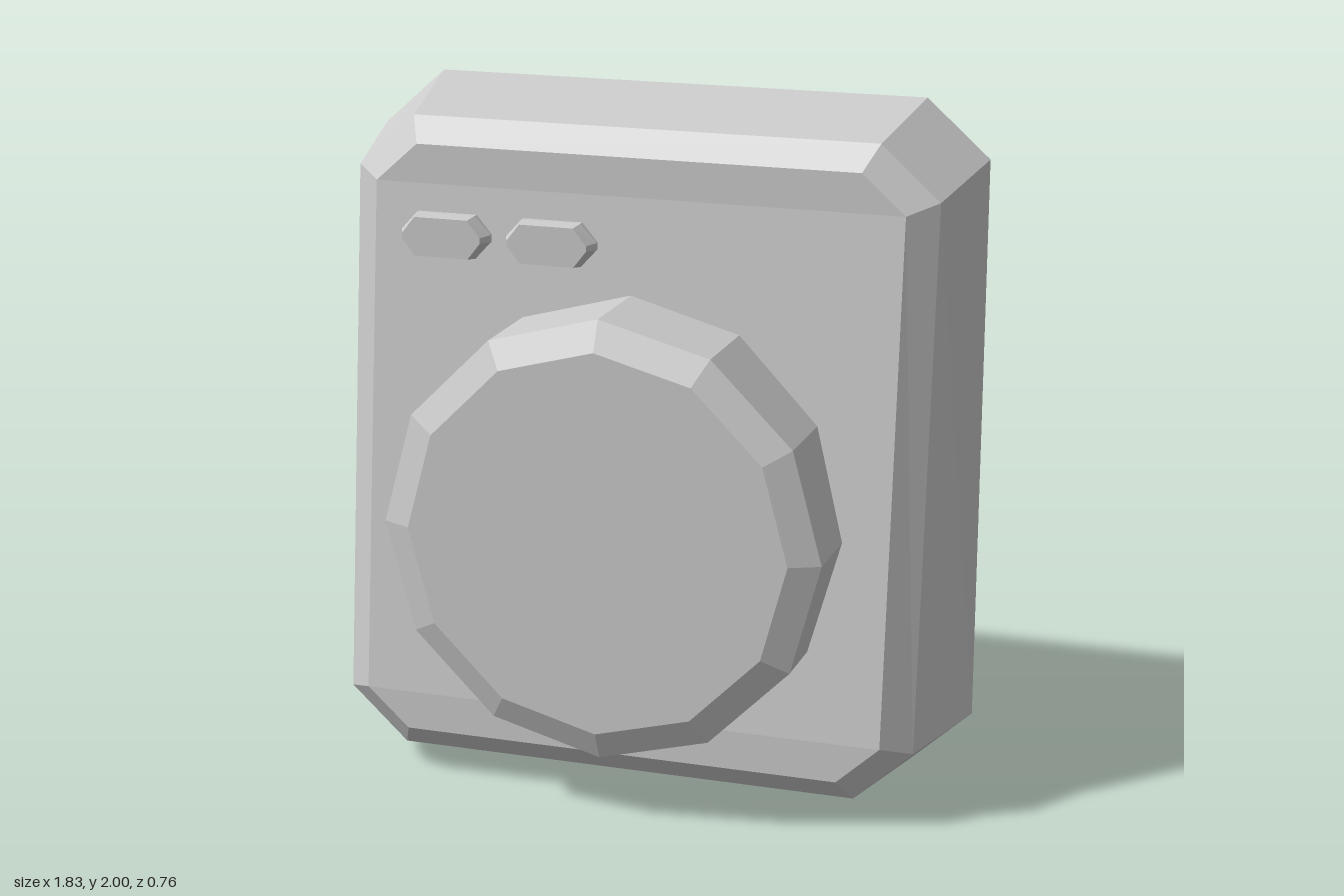
import * as THREE from 'three';

const material = new THREE.MeshStandardMaterial({ color: 0xcccccc, flatShading: true });

// Octagon with cut corners, counter-clockwise from +z; upper and lower halves may differ in z.
function octagon({ w, cx, bottom, low, high, top, zTop, zBottom = zTop }) {
  return [
    [cx, top, zTop], [-cx, top, zTop], [-w, high, zTop], [-w, low, zBottom],
    [-cx, bottom, zBottom], [cx, bottom, zBottom], [w, low, zBottom], [w, high, zTop],
  ];
}

// Closed loft through rings ordered back to front, capped in horizontal strips.
function loft(rings) {
  const n = rings[0].length;
  const index = [];
  const quad = (a, b, c, d) => index.push(a, b, c, a, c, d);
  for (let r = 0; r < rings.length - 1; r++) {
    for (let i = 0; i < n; i++) {
      const j = (i + 1) % n;
      quad(r * n + i, r * n + j, (r + 1) * n + j, (r + 1) * n + i);
    }
  }
  const front = (rings.length - 1) * n;
  for (let k = 0; k < n / 2 - 1; k++) {
    const r0 = (n - k) % n, r1 = n - k - 1, l0 = 1 + k, l1 = 2 + k;
    quad(front + r0, front + l0, front + l1, front + r1);
    quad(r0, r1, l1, l0);
  }
  const indexed = new THREE.BufferGeometry();
  indexed.setAttribute('position', new THREE.Float32BufferAttribute(rings.flat(2), 3));
  indexed.setIndex(index);
  const geometry = indexed.toNonIndexed();
  geometry.computeVertexNormals();
  return geometry;
}

export function createModel() {
  const group = new THREE.Group();
  const add = (name, geometry, x = 0, y = 0, z = 0) => {
    const mesh = new THREE.Mesh(geometry, material);
    mesh.name = name;
    mesh.position.set(x, y, z);
    group.add(mesh);
  };

  // Wedge-shaped housing with a bevelled, leaning front
  add('housing', loft([
    octagon({ w: 0.915, cx: 0.73, bottom: 0, low: 0.17, high: 1.835, top: 2, zTop: -0.38 }),
    octagon({ w: 0.855, cx: 0.685, bottom: 0.07, low: 0.228, high: 1.777, top: 1.93, zTop: -0.035, zBottom: 0.12 }),
    octagon({ w: 0.775, cx: 0.65, bottom: 0.143, low: 0.258, high: 1.748, top: 1.86, zTop: 0.035, zBottom: 0.19 }),
  ]));

  // Twelve-sided dial with a chamfered front rim
  const profile = [[0, 0], [0.64, 0], [0.64, 0.345], [0.555, 0.385], [0, 0.385]]
    .map(([r, h]) => new THREE.Vector2(r, h));
  add('dial', new THREE.LatheGeometry(profile, 12).rotateX(Math.PI / 2), 0, 0.835, 0);

  // Two small buttons in the upper corner
  const button = loft([
    octagon({ w: 0.135, cx: 0.088, bottom: -0.062, low: -0.01, high: 0.01, top: 0.062, zTop: 0.03 }),
    octagon({ w: 0.135, cx: 0.088, bottom: -0.062, low: -0.01, high: 0.01, top: 0.062, zTop: 0.06 }),
    octagon({ w: 0.118, cx: 0.08, bottom: -0.056, low: -0.008, high: 0.008, top: 0.056, zTop: 0.1 }),
  ]);
  add('outerButton', button, -0.555, 1.607);
  add('innerButton', button, -0.238, 1.607);

  return group;
}
